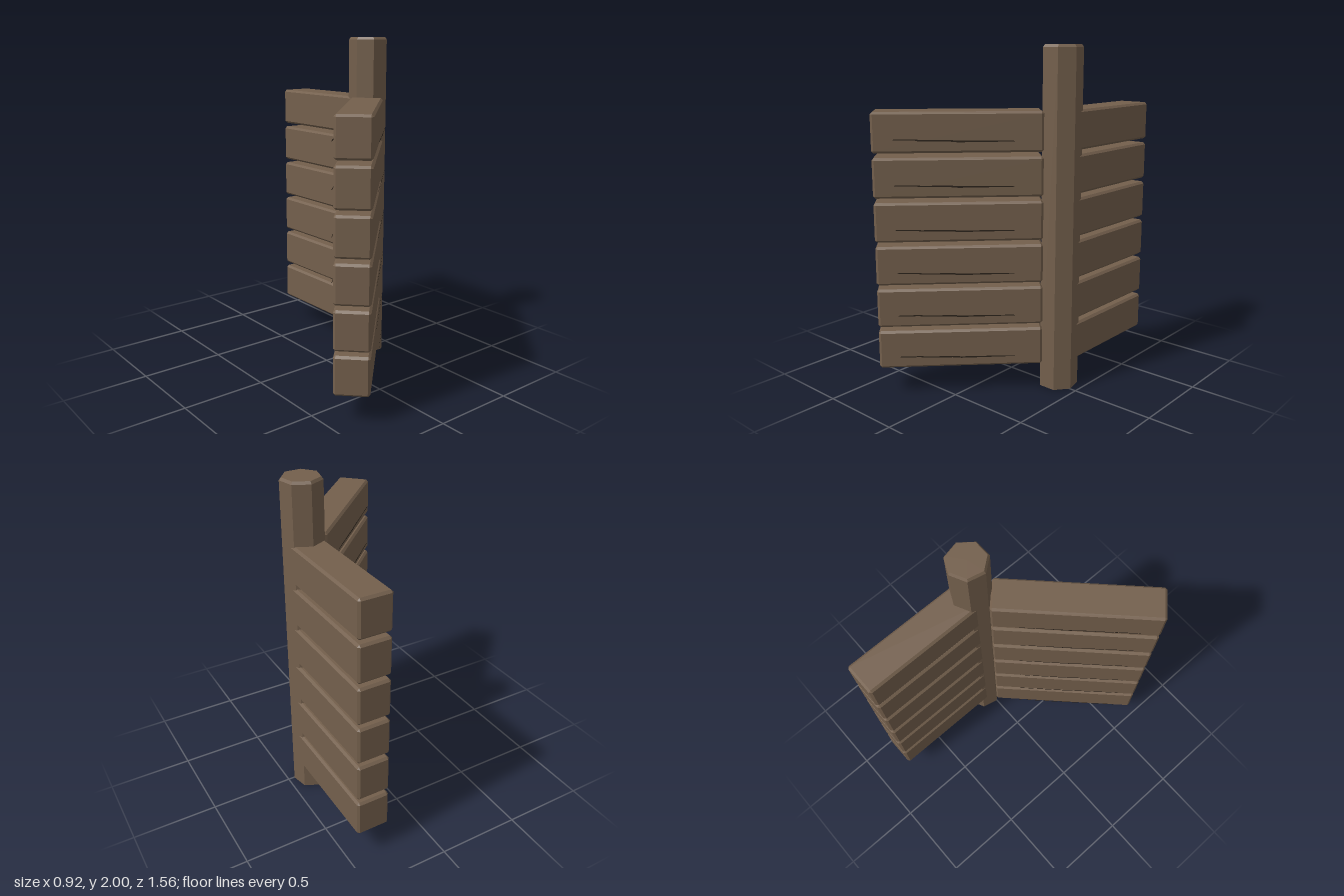
import * as THREE from 'three';
import { ConvexGeometry } from 'three/addons/geometries/ConvexGeometry.js';

// Box with flat chamfers on every edge
function chamferedBox(w, h, d, c) {
  const points = [];
  for (const sx of [-1, 1]) for (const sy of [-1, 1]) for (const sz of [-1, 1]) {
    const x = w / 2, y = h / 2, z = d / 2;
    points.push(
      new THREE.Vector3(sx * x, sy * (y - c), sz * (z - c)),
      new THREE.Vector3(sx * (x - c), sy * y, sz * (z - c)),
      new THREE.Vector3(sx * (x - c), sy * (y - c), sz * z));
  }
  return new ConvexGeometry(points);
}

export function createModel() {
  const model = new THREE.Group();
  const wood = new THREE.MeshStandardMaterial({ color: 0x735f4c });
  wood.name = 'weathered wood';
  const dark = new THREE.MeshStandardMaterial({ color: 0x2b231b, side: THREE.DoubleSide });
  dark.name = 'dark wood grain';

  const add = (parent, name, geometry, material, x, y, z) => {
    const mesh = new THREE.Mesh(geometry, material);
    mesh.name = name;
    mesh.position.set(x, y, z);
    parent.add(mesh);
    return mesh;
  };

  // Seven-sided post with a small chamfer at the top
  const post = new THREE.Group();
  post.name = 'post';
  post.position.set(0.345, 0, -0.029);
  post.rotation.y = Math.PI;
  model.add(post);
  const shaft = new THREE.CylinderGeometry(0.118, 0.118, 1.985, 7, 1, true).toNonIndexed();
  const cap = new THREE.CylinderGeometry(0.107, 0.118, 0.015, 7, 1).toNonIndexed();
  const base = new THREE.CircleGeometry(0.118, 7, Math.PI / 2).rotateX(Math.PI / 2);
  // CircleGeometry starts on +y, which the rotation turns to +z
  shaft.computeVertexNormals();
  cap.computeVertexNormals();
  add(post, 'postShaft', shaft, wood, 0, 0.9925, 0);
  add(post, 'postTop', cap, wood, 0, 1.9925, 0);
  add(post, 'postBase', base, wood, 0, 0, 0);

  // Thin jagged grain line
  const grain = new THREE.Shape([
    [-0.333, 0.003], [-0.325, 0.009], [-0.2, 0.007], [-0.19, 0.004], [-0.02, 0.003],
    [0.02, -0.001], [0.2, -0.002], [0.325, -0.004], [0.333, -0.008],
    [0.2, -0.009], [0.02, -0.01], [-0.03, -0.005], [-0.2, -0.002], [-0.21, 0.001],
  ].map(([x, y]) => new THREE.Vector2(x, y)));
  const grainGeometry = new THREE.ShapeGeometry(grain);

  const sidePlank = chamferedBox(0.198, 0.226, 0.755, 0.013);
  const anglePlank = chamferedBox(0.945, 0.226, 0.198, 0.013);

  // Two stacks of six planks, one straight back and one at an angle
  for (let i = 0; i < 6; i++) {
    const y = 0.277 + i * 0.251;
    add(model, 'backPlank' + (i + 1), sidePlank, wood, 0.345, y, -0.4075);
    const row = new THREE.Group();
    row.name = 'angledRow' + (i + 1);
    row.position.set(-0.065, y, 0.38);
    row.rotation.y = Math.PI / 4;
    model.add(row);
    add(row, 'angledPlank', anglePlank, wood, 0, 0, 0);
    for (const s of [-1, 1]) {
      add(row, 'grainLine', grainGeometry, dark, -0.021, -0.041, s * 0.12);
    }
  }
  return model;
}
